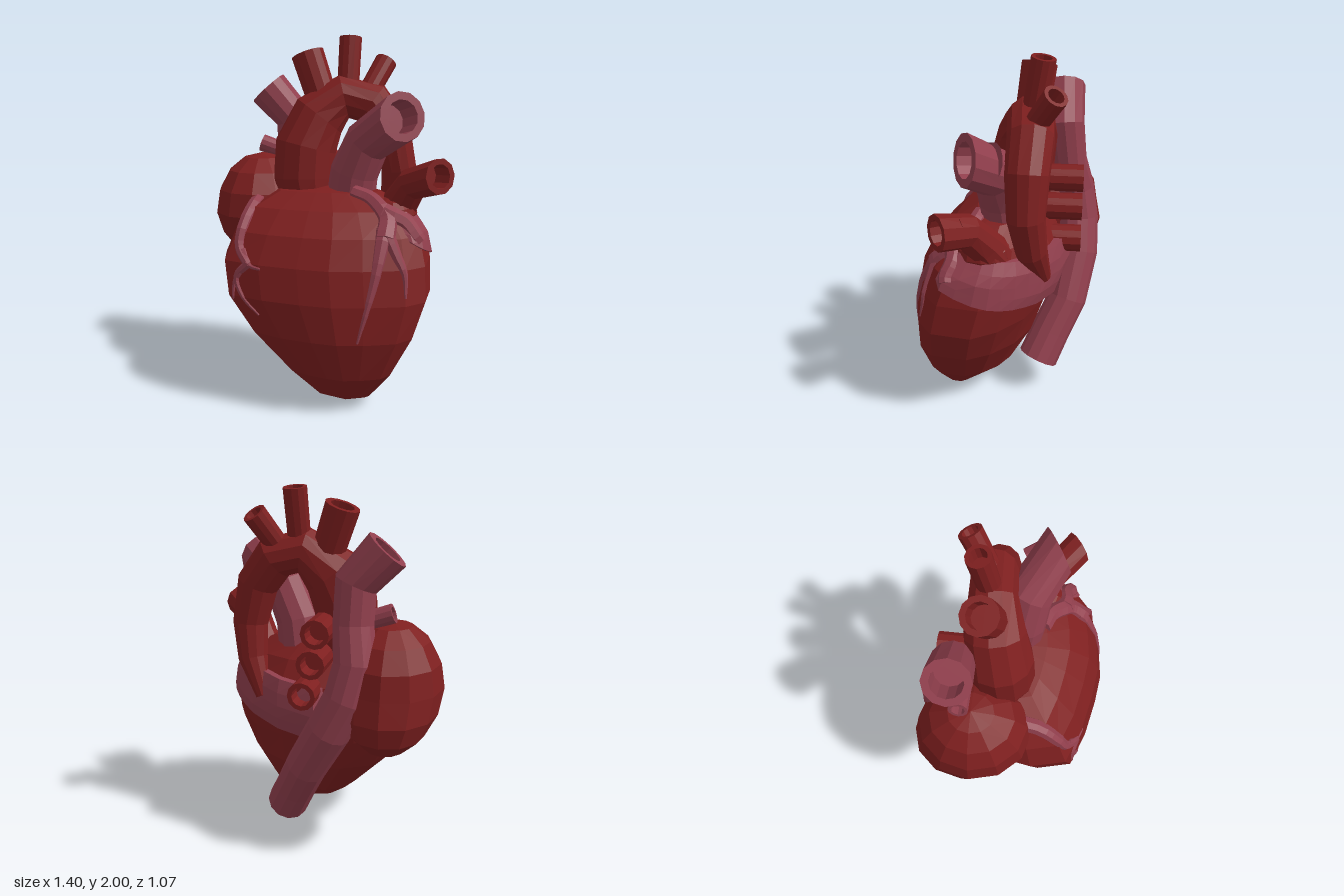
import * as THREE from 'three';

const V = (x, y, z) => new THREE.Vector3(x, y, z);
const lerp = THREE.MathUtils.lerp;

// Facetted skin over a list of rings (each ring runs counter-clockwise about the path)
function loft(rings, closed = true) {
  const pos = [];
  const tri = (a, b, c) => {
    if (a.distanceTo(b) < 1e-5 || b.distanceTo(c) < 1e-5 || a.distanceTo(c) < 1e-5) return;
    for (const p of [a, b, c]) pos.push(p.x, p.y, p.z);
  };
  for (let i = 0; i < rings.length - 1; i++) {
    const n = rings[i].length;
    for (let j = 0; j < (closed ? n : n - 1); j++) {
      const k = (j + 1) % n;
      tri(rings[i][j], rings[i][k], rings[i + 1][k]);
      tri(rings[i][j], rings[i + 1][k], rings[i + 1][j]);
    }
  }
  const g = new THREE.BufferGeometry();
  g.setAttribute('position', new THREE.Float32BufferAttribute(pos, 3));
  g.computeVertexNormals();
  return g;
}

// Vessel along [x, y, z, radius] points; bore = inner radius share, 0 for solid ends;
// endDir turns the mouth of the vessel
function vessel(path, { sides = 12, bore = 0.68, bothEnds = false, endDir = null } = {}) {
  const pts = path.map(p => V(p[0], p[1], p[2]));
  const last = pts.length - 1;
  let normal = null;
  const frames = pts.map((p, i) => {
    const t = i === last && endDir ? V(...endDir)
      : pts[Math.min(i + 1, last)].clone().sub(pts[Math.max(i - 1, 0)]);
    t.normalize();
    if (!normal) normal = Math.abs(t.z) < 0.8 ? V(0, 0, 1) : V(1, 0, 0);
    normal = normal.clone().addScaledVector(t, -normal.dot(t)).normalize();
    return { p, t, n: normal, b: t.clone().cross(normal) };
  });
  const ring = (f, r, shift = 0) => Array.from({ length: sides }, (_, j) => {
    const a = j / sides * Math.PI * 2;
    return f.p.clone().addScaledVector(f.t, shift)
      .addScaledVector(f.n, r * Math.cos(a)).addScaledVector(f.b, r * Math.sin(a));
  });
  const hole = (f, r, dir) =>
    [ring(f, r * bore), ring(f, r * bore, -dir * r * 1.2), ring(f, 0, -dir * r * 1.2)];
  const rings = frames.map((f, i) => ring(f, path[i][3]));
  const end = frames[last], start = frames[0];
  rings.push(...(bore ? hole(end, path[last][3], 1) : [ring(end, 0)]));
  rings.unshift(...(bore && bothEnds ? hole(start, path[0][3], -1).reverse() : [ring(start, 0)]));
  return loft(rings);
}

// Ventricle sections: y, right x, left x, back z, front z
const SECTIONS = [
  [0, 0.14, 0.14, 0.28, 0.28],
  [0.05, -0.01, 0.28, 0.17, 0.36],
  [0.2, -0.17, 0.4, -0.05, 0.47],
  [0.42, -0.38, 0.52, -0.18, 0.53],
  [0.62, -0.53, 0.59, -0.25, 0.525],
  [0.8, -0.56, 0.585, -0.31, 0.49],
  [0.95, -0.5, 0.55, -0.29, 0.42],
  [1.07, -0.41, 0.46, -0.22, 0.3],
  [1.15, -0.27, 0.3, -0.14, 0.17],
  [1.18, 0.03, 0.03, -0.03, -0.03],
];
// Unit outline of a section: from the left, round the back, right and front
const OUTLINE = [
  [1, 0.05], [0.87, -0.3], [0.63, -0.65], [0.3, -0.9], [-0.1, -1], [-0.45, -0.92],
  [-0.8, -0.68], [-0.95, -0.3], [-1, 0.12], [-0.92, 0.62], [-0.57, 0.82], [-0.2, 0.94],
  [0.1, 1], [0.4, 0.95], [0.77, 0.82], [0.95, 0.6],
];
const COUNT = OUTLINE.length;

function section(y) {
  let i = 0;
  while (i < SECTIONS.length - 2 && SECTIONS[i + 1][0] < y) i++;
  const a = SECTIONS[i], b = SECTIONS[i + 1], t = (y - a[0]) / (b[0] - a[0]);
  const [xr, xl, zb, zf] = [1, 2, 3, 4].map(k => lerp(a[k], b[k], t));
  return { cx: (xr + xl) / 2, cz: (zb + zf) / 2, rx: (xl - xr) / 2, rz: (zf - zb) / 2 };
}

// Point on the ventricle wall; k counts along the outline and may be fractional
function wall(k, y, off = 0) {
  const s = section(y), i = Math.floor(k);
  const a = OUTLINE[(i + COUNT) % COUNT], b = OUTLINE[(i + 1 + COUNT) % COUNT];
  const u = lerp(a[0], b[0], k - i), v = lerp(a[1], b[1], k - i);
  return V(s.cx + (s.rx + off) * u, y, s.cz + (s.rz + off) * v);
}

// Depth of the front wall at x, y
function frontZ(x, y) {
  const s = section(y), u = THREE.MathUtils.clamp((x - s.cx) / s.rx, -0.999, 0.999);
  let i = 8;
  while (OUTLINE[(i + 1) % COUNT][0] < u) i++;
  const a = OUTLINE[i], b = OUTLINE[(i + 1) % COUNT];
  return s.cz + s.rz * lerp(a[1], b[1], (u - a[0]) / (b[0] - a[0]));
}

// Surface vein through [x, y] points, half sunk, tapering from r0 to r1
function vein(points, r0, r1) {
  const curve = new THREE.CatmullRomCurve3(points.map(p => V(p[0], p[1], 0)));
  const path = curve.getPoints(points.length * 3).map((p, i, all) => {
    const r = lerp(r0, r1, i / (all.length - 1));
    return [p.x, p.y, frontZ(p.x, p.y) - r * 0.45, r];
  });
  return vessel(path, { sides: 8, bore: 0 });
}

// Facetted ellipsoid, its lower half leaning back by lean
function lump(rx, ry, rz, lean = 0) {
  const g = new THREE.SphereGeometry(1, 12, 8).scale(rx, ry, rz).toNonIndexed();
  const p = g.attributes.position;
  for (let i = 0; i < p.count; i++) p.setZ(i, p.getZ(i) + lean * Math.min(0, p.getY(i)));
  g.computeVertexNormals();
  return g;
}

export function createModel() {
  const group = new THREE.Group();
  const red = new THREE.MeshStandardMaterial({ color: 0x7e1f1f });
  red.name = 'muscle red';
  const pink = new THREE.MeshStandardMaterial({ color: 0x913f4d });
  pink.name = 'vein pink';
  const add = (name, geometry, material) => {
    const m = new THREE.Mesh(geometry, material);
    m.name = name;
    group.add(m);
    return m;
  };

  // Ventricles
  add('ventricles', loft(SECTIONS.map(s => OUTLINE.map((_, k) => wall(k, s[0])))), red);

  // Pink band wrapped over the upper left and back
  const band = [];
  for (let i = 0; i <= 6; i++) {
    const row = [];
    for (let j = 0; j <= 14; j++) {
      const t = j / 14, low = lerp(0.98, 0.63, t ** 0.7), high = lerp(1.09, 0.95, t);
      const y = lerp(low, high, THREE.MathUtils.clamp((i - 1) / 4, 0, 1));
      const inside = i === 0 || i === 6 || j === 0 || j === 14;
      row.push(wall(lerp(-2, 4.4, t), y, inside ? -0.03 : 0.012 + 0.04 * t));
    }
    band.push(row);
  }
  add('upperBand', loft(band, false), pink);

  // Right atrium
  add('rightAtrium', lump(0.285, 0.345, 0.32, 0.4), red).position.set(-0.415, 0.985, -0.19);

  // Aortic arch with its three branches
  add('aorta', vessel([
    [-0.13, 1.1, -0.05, 0.16], [-0.145, 1.2, -0.06, 0.178], [-0.135, 1.38, -0.07, 0.178],
    [-0.06, 1.55, -0.1, 0.16], [0.08, 1.66, -0.12, 0.125], [0.24, 1.62, -0.13, 0.122],
    [0.35, 1.47, -0.12, 0.115], [0.4, 1.25, -0.12, 0.1], [0.38, 1.05, -0.15, 0.085],
    [0.3, 0.85, -0.21, 0.045],
  ], { bore: 0 }), red);
  [
    [[-0.05, 1.66, -0.12, 0.09], [-0.135, 1.9, -0.15, 0.095]],
    [[0.1, 1.68, -0.13, 0.062], [0.11, 1.99, -0.18, 0.064]],
    [[0.2, 1.65, -0.13, 0.06], [0.31, 1.86, -0.25, 0.064]],
  ].forEach((p, i) => add('archBranch' + (i + 1), vessel(p), red));

  // Pulmonary artery with its mouth turned forward
  add('pulmonaryArtery', vessel([
    [0.13, 1.08, 0, 0.14], [0.155, 1.25, 0.02, 0.135], [0.23, 1.42, 0.05, 0.13],
    [0.42, 1.565, 0.18, 0.135],
  ], { endDir: [0.5, 0.2, 0.85] }), pink);

  // Left auricle with its vessel
  add('leftAuricle', lump(0.13, 0.1, 0.15), red).position.set(0.38, 1.04, 0.1);
  add('leftAuricleVessel', vessel([
    [0.37, 1.0, 0.05, 0.12], [0.42, 1.1, 0.1, 0.1], [0.48, 1.21, 0.17, 0.09],
    [0.62, 1.27, 0.295, 0.095],
  ], { sides: 10, endDir: [0.6, 0.1, 0.78] }), red);

  // Vena cava down the back, open at both ends
  add('venaCava', vessel([
    [-0.395, 1.705, -0.28, 0.122], [-0.24, 1.53, -0.29, 0.115], [-0.235, 1.32, -0.32, 0.108],
    [-0.26, 1.13, -0.365, 0.118], [-0.22, 0.95, -0.395, 0.12], [-0.13, 0.77, -0.4, 0.12],
    [0.01, 0.52, -0.35, 0.115], [0.1, 0.34, -0.26, 0.115], [0.175, 0.19, -0.19, 0.118],
  ], { bothEnds: true }), pink);
  add('smallVein', vessel([[-0.18, 1.29, -0.25, 0.05], [-0.43, 1.38, -0.25, 0.052]]), pink);

  // Three veins at the back
  [[-0.055, 1.28], [-0.03, 1.115], [0.02, 0.94]].forEach(([x, y], i) =>
    add('backVein' + (i + 1), vessel([[x, y, -0.08, 0.075], [x, y, -0.41, 0.077]]), red));

  // Branching surface veins
  [
    [[[-0.38, 1.09], [-0.42, 0.98], [-0.43, 0.87], [-0.37, 0.79]], 0.045, 0.026],
    [[[-0.41, 0.86], [-0.36, 0.79], [-0.3, 0.78]], 0.022, 0.008],
    [[[-0.37, 0.8], [-0.44, 0.72], [-0.4, 0.62], [-0.31, 0.53]], 0.028, 0.007],
    [[[-0.42, 0.75], [-0.45, 0.69], [-0.46, 0.6]], 0.022, 0.007],
    [[[0.16, 1.15], [0.27, 1.11], [0.35, 1.03], [0.345, 0.94]], 0.045, 0.06],
    [[[0.34, 0.98], [0.3, 0.75], [0.22, 0.43]], 0.05, 0.007],
    [[[0.35, 0.98], [0.41, 0.86], [0.45, 0.78], [0.46, 0.66]], 0.042, 0.007],
    [[[0.33, 1.06], [0.44, 1.01], [0.52, 0.92]], 0.06, 0.045],
  ].forEach((v, i) => add('surfaceVein' + (i + 1), vein(...v), pink));

  return group;
}
